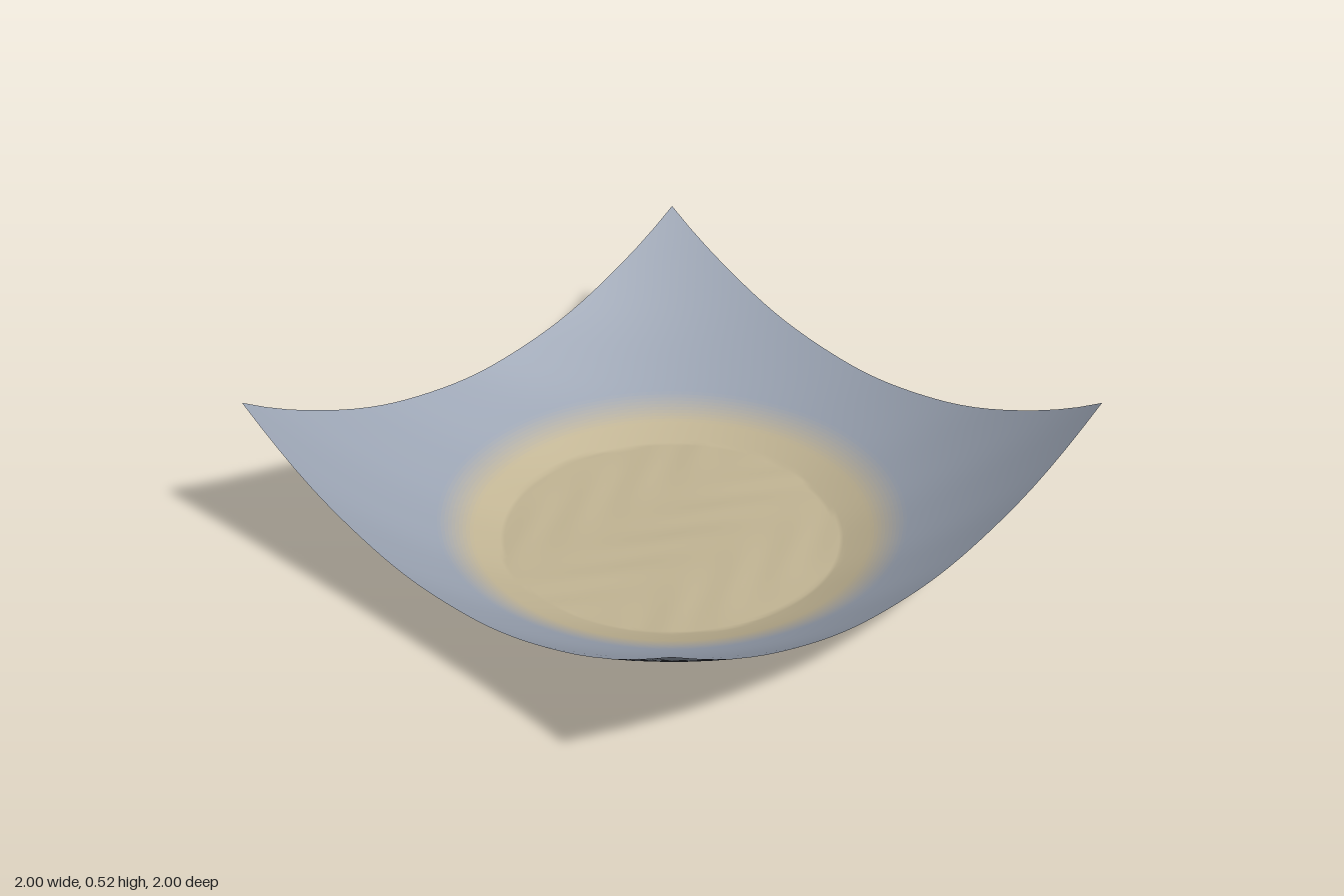
import * as THREE from 'three';

const SEGMENTS = 128;          // multiple of 8, so the square's corners are hit exactly
const SLATE = new THREE.Color(0x9aa3b2);
const SAND = new THREE.Color(0xc2b594);

// Height of the ground: a paraboloid bowl cut off by a gently rippled floor
function height(x, z) {
  const floor = 0.007 + 0.003 * Math.sin(7 * x) * Math.cos(6 * z)
    + 0.0012 * Math.sin(22 * z + 4 * Math.sin(9 * x));
  const bowl = 0.31 * (x * x + z * z) - 0.095 + 0.001 * Math.sin(14 * (x + z));
  return Math.max(bowl, floor);
}

// Ring-shaped patch of the ground between two outlines, given as radius(angle)
function patch(name, inner, outer, rings, color) {
  const positions = [], normals = [], index = [];
  const e = 0.008, n = new THREE.Vector3();
  for (let i = 0; i <= rings; i++) {
    for (let j = 0; j <= SEGMENTS; j++) {
      const a = (j / SEGMENTS) * Math.PI * 2;
      const r = THREE.MathUtils.lerp(inner(a), outer(a), i / rings);
      const x = r * Math.cos(a), z = r * Math.sin(a);
      positions.push(x, height(x, z), z);
      n.set(height(x - e, z) - height(x + e, z), 2 * e, height(x, z - e) - height(x, z + e)).normalize();
      normals.push(n.x, n.y, n.z);
      if (i < rings && j < SEGMENTS) {
        const p = i * (SEGMENTS + 1) + j, q = p + SEGMENTS + 1;
        index.push(p, p + 1, q, p + 1, q + 1, q);
      }
    }
  }
  const geometry = new THREE.BufferGeometry();
  geometry.setAttribute('position', new THREE.Float32BufferAttribute(positions, 3));
  geometry.setAttribute('normal', new THREE.Float32BufferAttribute(normals, 3));
  geometry.setIndex(index);
  const mesh = new THREE.Mesh(geometry, new THREE.MeshStandardMaterial({ color, side: THREE.DoubleSide }));
  mesh.name = name;
  return mesh;
}

export function createModel() {
  const model = new THREE.Group();
  model.name = 'bowlTerrain';
  const circle = (r) => () => r;
  const square = (a) => 1 / Math.max(Math.abs(Math.cos(a)), Math.abs(Math.sin(a)));

  // Flat sandy floor and the sandy foot of the slope
  model.add(patch('sandFloor', circle(0), circle(0.58), 40, SAND));
  model.add(patch('sandFoot', circle(0.58), circle(0.67), 6, SAND));

  // Narrow bands fading from sand to slate
  const bands = 10, start = 0.67, end = 0.79;
  for (let i = 0; i < bands; i++) {
    const r0 = start + (end - start) * i / bands;
    const r1 = start + (end - start) * (i + 1) / bands;
    const color = SAND.clone().lerp(SLATE, (i + 0.5) / bands);
    model.add(patch('fadeBand' + (i + 1), circle(r0), circle(r1), 1, color));
  }

  // Slate slope out to the square rim
  model.add(patch('slateSlope', circle(end), square, 24, SLATE));
  return model;
}
